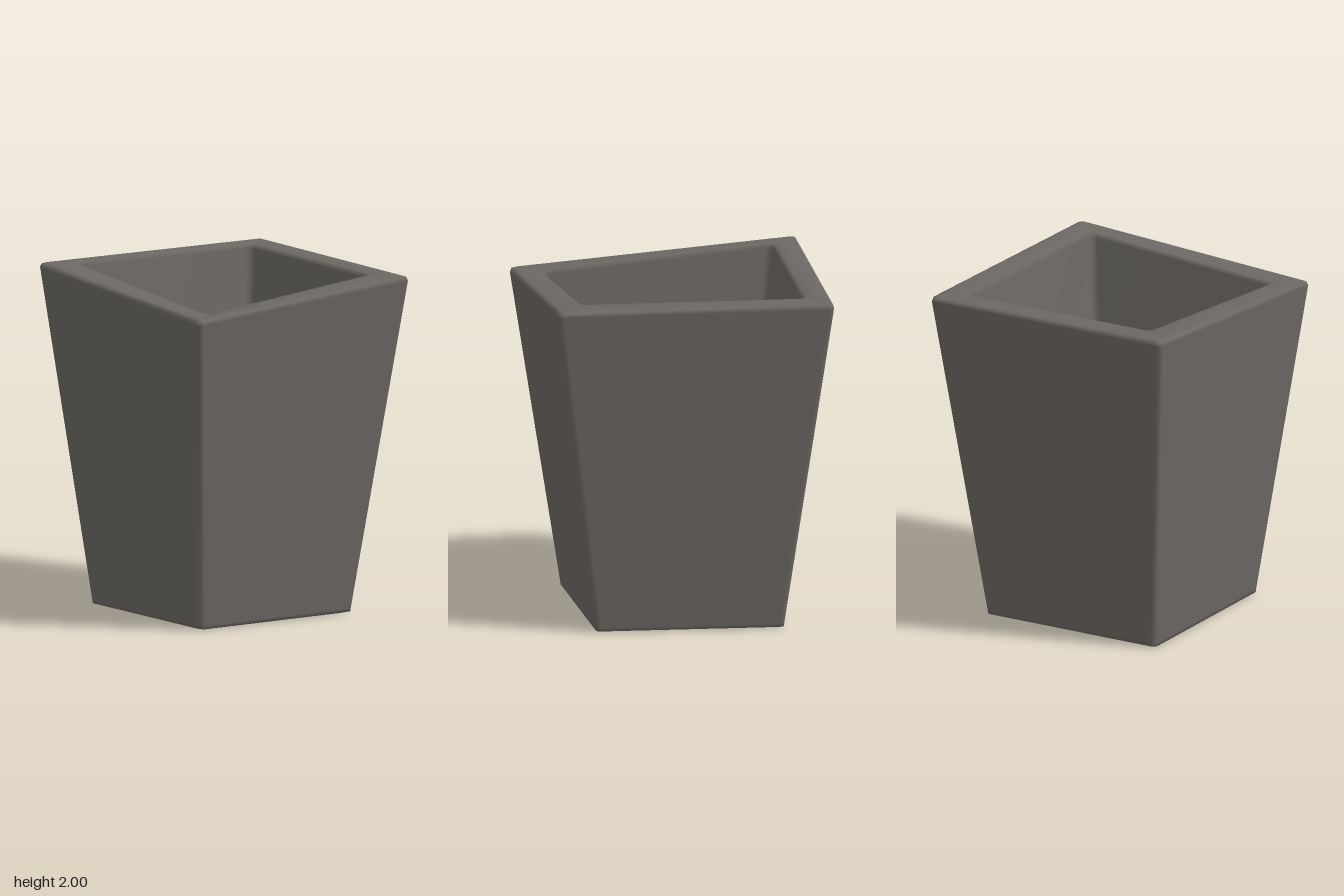
import * as THREE from 'three';

const V = (x, y, z) => new THREE.Vector3(x, y, z);

// Corner quads, ordered back left, front left, front right, back right (seen from above)
const outerBottom = [V(-0.59, 0, -0.58), V(-0.59, 0, 0.57), V(0.5, 0, 0.515), V(0.555, 0, -0.58)];
const outerTop = [V(-0.787, 2, -0.847), V(-0.787, 1.875, 0.845), V(0.736, 2, 0.778), V(0.784, 2, -0.847)];
const innerTop = [V(-0.615, 2, -0.688), V(-0.62, 1.885, 0.668), V(0.56, 2, 0.605), V(0.605, 2, -0.688)];
const innerBottom = [V(-0.437, 0.35, -0.485), V(-0.465, 0.35, 0.475), V(0.395, 0.35, 0.42), V(0.437, 0.35, -0.485)];

const between = (a, b, t) => a.map((p, i) => p.clone().lerp(b[i], t));

// Direction from one corner of a quad to its neighbour
const toward = (q, i, step) => q[(i + step + 4) % 4].clone().sub(q[i]).normalize();

// Pulls each corner inward along both of its edges
const inset = (q, d) => q.map((p, i) =>
  p.clone().addScaledVector(toward(q, i, 1), d).addScaledVector(toward(q, i, -1), d));

// Turns four corners into a ring with small rounded corners
const ring = (q, r) => q.flatMap((p, i) => {
  const a = p.clone().addScaledVector(toward(q, i, -1), r);
  const b = p.clone().addScaledVector(toward(q, i, 1), r);
  const mid = a.clone().add(b).multiplyScalar(0.25).addScaledVector(p, 0.5);
  return [a, mid, b];
});

// Skins consecutive rings and closes both ends
function skin(rings) {
  const n = rings[0].length;
  const points = rings.flat();
  const index = [];
  for (let i = 0; i < rings.length - 1; i++) {
    for (let j = 0; j < n; j++) {
      const k = (j + 1) % n;
      const a = i * n + j, b = i * n + k, c = b + n, d = a + n;
      index.push(a, b, c, a, c, d);
    }
  }
  const cap = (r, flip) => {
    const centre = points.length;
    points.push(rings[r].reduce((s, p) => s.add(p), V(0, 0, 0)).divideScalar(n));
    for (let j = 0; j < n; j++) {
      const a = r * n + j, b = r * n + (j + 1) % n;
      index.push(centre, flip ? b : a, flip ? a : b);
    }
  };
  cap(0, true);
  cap(rings.length - 1, false);
  const geometry = new THREE.BufferGeometry().setFromPoints(points);
  geometry.setIndex(index);
  geometry.computeVertexNormals();
  return geometry;
}

export function createModel() {
  const group = new THREE.Group();
  group.name = 'planter';
  const stone = new THREE.MeshStandardMaterial({ color: 0x6c6864 });
  stone.name = 'warm grey stone';

  // Base, outer walls, bevelled rim, inner walls and floor in one shell
  const pot = new THREE.Mesh(skin([
    ring(inset(outerBottom, 0.03), 0.02),
    ring(between(outerBottom, outerTop, 0.004), 0.03),
    ring(between(outerBottom, outerTop, 0.015), 0.03),
    ring(between(outerBottom, outerTop, 0.985), 0.03),
    ring(inset(between(outerBottom, outerTop, 0.996), 0.008), 0.03),
    ring(inset(outerTop, 0.03), 0.02),
    ring(inset(innerTop, -0.015), 0.04),
    ring(between(innerTop, innerBottom, 0.015), 0.04),
    ring(between(innerTop, innerBottom, 0.98), 0.02),
    ring(inset(innerBottom, 0.02), 0.015),
  ]), stone);
  pot.name = 'potShell';
  group.add(pot);
  return group;
}
